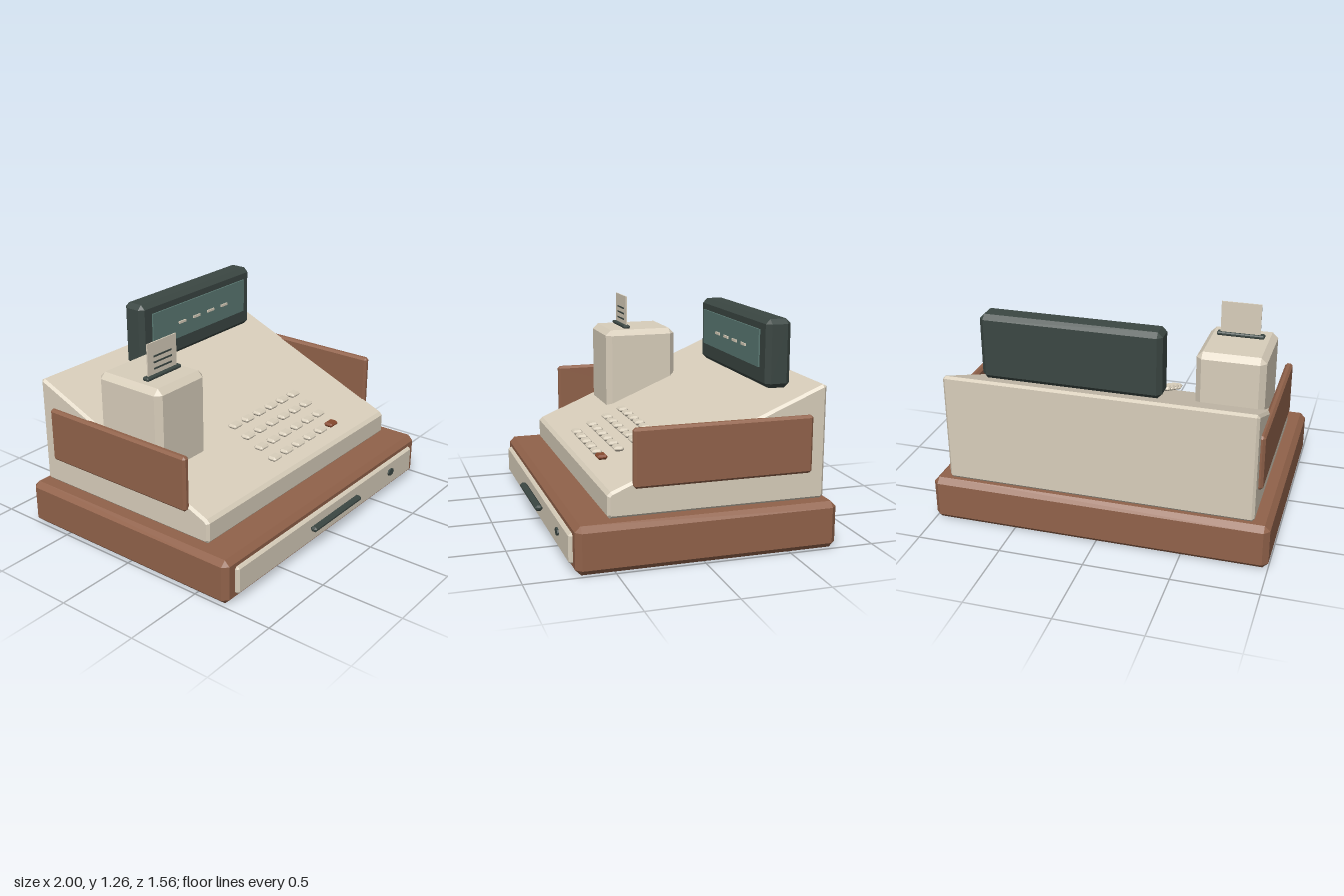
import * as THREE from 'three';
import { ConvexGeometry } from 'three/addons/geometries/ConvexGeometry.js';

const material = (name, color) => {
  const m = new THREE.MeshStandardMaterial({ color });
  m.name = name;
  return m;
};

// Box with every edge cut by a flat chamfer, given by its min and max on each axis
function chamferBox([x0, x1], [y0, y1], [z0, z1], c) {
  const h = [(x1 - x0) / 2, (y1 - y0) / 2, (z1 - z0) / 2];
  const points = [];
  for (const sx of [-1, 1]) for (const sy of [-1, 1]) for (const sz of [-1, 1]) {
    for (let full = 0; full < 3; full++) {
      const e = h.map((v, i) => (i === full ? v : v - c));
      points.push(new THREE.Vector3(sx * e[0], sy * e[1], sz * e[2]));
    }
  }
  return new ConvexGeometry(points).translate((x0 + x1) / 2, (y0 + y1) / 2, (z0 + z1) / 2);
}

export function createModel() {
  const wood = material('brown wood', 0x91624a);
  const cream = material('cream', 0xd8cebb);
  const dark = material('dark green', 0x3b4743);
  const glass = material('teal glass', 0x5b7a74);
  const rust = material('rust', 0x87492e);

  const model = new THREE.Group();
  model.name = 'cashRegister';
  const add = (name, geometry, mat, parent = model) => {
    const mesh = new THREE.Mesh(geometry, mat);
    mesh.name = name;
    parent.add(mesh);
    return mesh;
  };
  const group = (name) => {
    const g = new THREE.Group();
    g.name = name;
    model.add(g);
    return g;
  };
  const plate = (w, h, d, x, y, z) => new THREE.BoxGeometry(w, h, d).translate(x, y, z);

  // Wooden base and cash drawer
  add('base', chamferBox([-1, 1], [0, 0.27], [-0.78, 0.715], 0.032), wood);
  const drawer = group('drawer');
  add('drawerFront', chamferBox([-0.92, 0.92], [0.047, 0.215], [0.69, 0.737], 0.012), cream, drawer);
  add('drawerHandle', chamferBox([-0.25, 0.25], [0.126, 0.16], [0.737, 0.78], 0.012), dark, drawer);
  const lock = new THREE.CylinderGeometry(0.032, 0.032, 0.02, 8).toNonIndexed();
  lock.computeVertexNormals();
  lock.rotateX(Math.PI / 2).scale(1, 0.72, 1).translate(0.655, 0.142, 0.737);
  add('drawerLock', lock, dark, drawer);

  // Sloping body: side profile as (z, y), extruded across x with bevelled sides
  const profile = [
    [-0.735, 0.285], [-0.72, 0.268], [0.505, 0.268], [0.52, 0.285],
    [0.52, 0.395], [0.5, 0.415], [-0.715, 0.92], [-0.735, 0.909],
  ].map(([z, y]) => new THREE.Vector2(z, y));
  const bevel = 0.015;
  const halfWidth = 0.905;
  const body = new THREE.ExtrudeGeometry(new THREE.Shape(profile), {
    depth: 2 * (halfWidth - bevel), bevelEnabled: true, bevelSegments: 1,
    bevelSize: bevel, bevelThickness: bevel, bevelOffset: -bevel,
  });
  body.translate(0, 0, -(halfWidth - bevel)).rotateY(-Math.PI / 2);
  add('body', body, cream);

  // Wooden side panels
  for (const [name, x] of [['leftPanel', 0.907], ['rightPanel', -0.907]]) {
    add(name, chamferBox([x - 0.023, x + 0.023], [0.428, 0.757], [-0.65, 0.38], 0.014), wood);
  }

  // Keypad: flat keys stepping up the slope, with one accent key
  const keypad = group('keypad');
  for (let row = 0; row < 4; row++) {
    for (let col = 0; col < 6; col++) {
      const x = -0.175 + col * 0.119;
      const y = 0.48 + row * 0.041;
      const z = 0.426 - row * 0.098;
      const accent = row === 0 && col === 5;
      add(accent ? 'accentKey' : 'key',
        chamferBox([x - 0.039, x + 0.039], [y - 0.014, y + 0.014], [z - 0.03, z + 0.03], 0.011),
        accent ? rust : cream, keypad);
    }
  }

  // Receipt printer with slot, paper and printed lines
  const printer = group('printer');
  add('printerHousing', chamferBox([-0.862, -0.46], [0.45, 1.053], [-0.312, 0.15], 0.034), cream, printer);
  add('paperSlot', chamferBox([-0.8, -0.52], [1.055, 1.076], [-0.023, 0.021], 0.006), dark, printer);
  add('paper', plate(0.235, 0.2, 0.008, -0.658, 1.162, -0.003), cream, printer);
  for (const y of [1.18, 1.145, 1.108]) {
    add('printedLine', plate(0.145, 0.009, 0.004, -0.656, y, 0.003), dark, printer);
  }

  // Display with glass and four dashes
  const display = group('display');
  add('displayHousing', chamferBox([-0.337, 0.722], [0.872, 1.263], [-0.6, -0.45], 0.028), dark, display);
  add('screen', plate(0.89, 0.215, 0.009, 0.191, 1.092, -0.4385), glass, display);
  for (let i = 0; i < 4; i++) {
    add('displayDash', plate(0.065, 0.015, 0.008, 0.01 + i * 0.137, 1.083, -0.43), cream, display);
  }

  return model;
}
